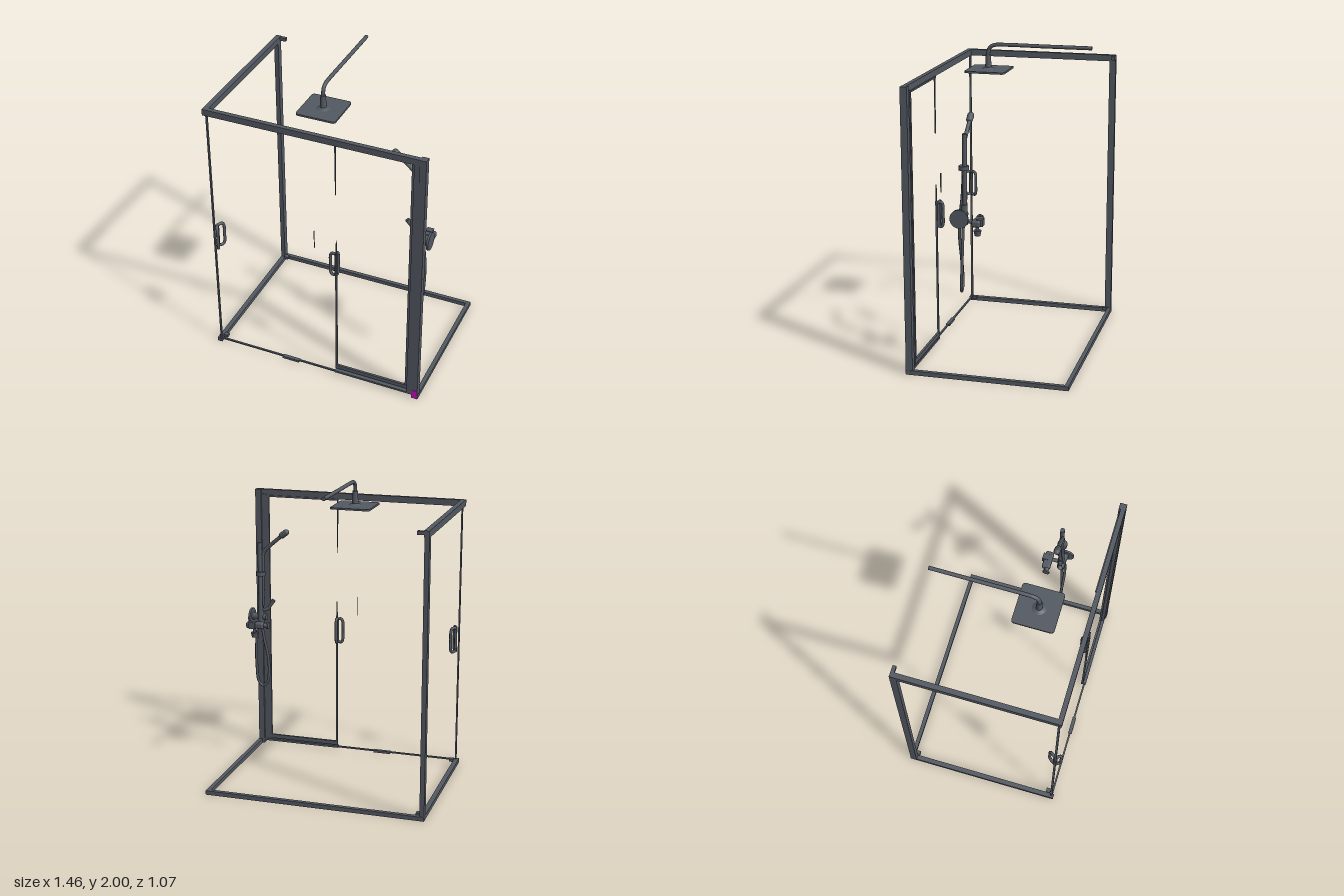
import * as THREE from 'three';
import { RoundedBoxGeometry } from 'three/addons/geometries/RoundedBoxGeometry.js';

const metal = new THREE.MeshStandardMaterial({ color: 0x535962, side: THREE.DoubleSide });
metal.name = 'slateMetal';
const tag = new THREE.MeshStandardMaterial({ color: 0xc010c0 });
tag.name = 'magentaPatch';
const V = (x, y, z) => new THREE.Vector3(x, y, z);

export function createModel() {
  const model = new THREE.Group();
  model.name = 'showerEnclosure';

  const add = (name, geo, mat = metal) => {
    const m = new THREE.Mesh(geo, mat);
    m.name = name;
    model.add(m);
    return m;
  };
  // box given by its lower and upper limits on each axis
  const bar = (name, x0, x1, y0, y1, z0, z1, mat) => {
    const g = new THREE.BoxGeometry(x1 - x0, y1 - y0, z1 - z0);
    g.translate((x0 + x1) / 2, (y0 + y1) / 2, (z0 + z1) / 2);
    return add(name, g, mat);
  };
  // cylinder between two points
  const rod = (name, a, b, r0, r1 = r0, n = 20) => {
    const d = b.clone().sub(a);
    const m = add(name, new THREE.CylinderGeometry(r1, r0, d.length(), n));
    m.position.copy(a).addScaledVector(d, 0.5);
    m.quaternion.setFromUnitVectors(V(0, 1, 0), d.normalize());
    return m;
  };
  const tube = (name, pts, r, seg = 48) =>
    add(name, new THREE.TubeGeometry(new THREE.CatmullRomCurve3(pts, false, 'centripetal'), seg, r, 10));
  // tapering sliver of edge trim along the glass
  const sliver = (name, x, y0, y1, w0, w1, z) => {
    const s = new THREE.Shape([[-w0, y0], [w0, y0], [w1, y1], [-w1, y1]].map(p => new THREE.Vector2(...p)));
    const g = new THREE.ExtrudeGeometry(s, { depth: 0.008, bevelEnabled: false });
    add(name, g.translate(x, 0, z - 0.004));
  };

  // base frame: back, left and right rails, with a slim front sill
  bar('baseBack', -0.73, 0.73, 0, 0.028, -0.535, -0.508);
  bar('baseLeft', -0.73, -0.698, 0, 0.028, -0.53, 0.51);
  bar('baseRight', 0.702, 0.73, 0, 0.028, -0.53, 0.51);
  bar('frontSill', -0.73, 0.73, 0.018, 0.028, 0.49, 0.502);
  bar('sillJoint', -0.24, -0.12, 0.012, 0.028, 0.485, 0.51);
  for (const [x, z] of [[-0.685, -0.49], [-0.685, 0.465]])
    bar('cornerNub', x - 0.015, x + 0.015, 0.02, 0.04, z - 0.015, z + 0.015);

  // top rails
  bar('topRailFront', -0.73, 0.725, 1.8, 1.842, 0.482, 0.512);
  bar('topRailLeft', -0.73, -0.697, 1.8, 1.842, -0.53, 0.51);
  bar('topCornerBracket', -0.70, -0.655, 1.815, 1.838, -0.533, -0.51);

  // posts
  bar('backLeftPost', -0.73, -0.7, 0, 1.84, -0.533, -0.49);
  bar('frontLeftEdge', -0.714, -0.704, 0.02, 1.81, 0.486, 0.5);
  bar('wallChannel', 0.686, 0.727, 0, 1.842, 0.47, 0.514);
  bar('doorJamb', 0.65, 0.684, 0.03, 1.81, 0.478, 0.508);
  bar('doorSeal', 0.63, 0.65, 0.04, 1.8, 0.474, 0.488);
  bar('channelPatch', 0.69, 0.727, 0.005, 0.068, 0.514, 0.516, tag);

  // sliding door rails and glass edge trim
  bar('doorBottomRail', 0.14, 0.65, 0.042, 0.07, 0.474, 0.489);
  bar('doorThreshold', 0.14, 0.69, 0.02, 0.034, 0.474, 0.508);
  bar('doorTopRail', 0.14, 0.65, 1.792, 1.803, 0.474, 0.489);
  bar('doorEdge', 0.14, 0.151, 0.045, 0.98, 0.476, 0.488);
  sliver('doorEdgeTip', 0.146, 0.98, 1.09, 0.005, 0.001, 0.482);
  sliver('doorEdgeUpper', 0.142, 1.43, 1.8, 0.001, 0.005, 0.482);
  sliver('glassEdge', 0.002, 1.0, 1.13, 0.001, 0.002, 0.495);

  // D-shaped pull handles; dir is the stand-off direction from the glass
  const handle = (name, x, z, dx, dz) => {
    const p = (t, y) => V(x + dx * t, y, z + dz * t);
    tube(name, [p(0, 0.81), p(0.75, 0.808), p(1, 0.83), p(1, 0.89), p(1, 0.95), p(0.75, 0.972), p(0, 0.97)], 0.01);
    rod(name + 'Plate', p(0.1, 0.805), p(0.1, 0.975), 0.008);
  };
  handle('leftHandleInner', -0.69, 0.487, 0.027, -0.04);
  handle('leftHandleOuter', -0.69, 0.492, 0.02, 0.032);
  handle('rightHandleInner', 0.138, 0.475, 0.002, -0.036);
  handle('rightHandleSide', 0.14, 0.468, -0.04, 0);

  // overhead rain shower
  tube('showerArm', [V(-0.068, 1.86, 0.185), V(-0.068, 1.93, 0.185), V(-0.068, 1.965, 0.175),
    V(-0.068, 1.983, 0.145), V(-0.068, 1.987, 0.1), V(-0.068, 1.987, -0.2), V(-0.068, 1.987, -0.49)], 0.0125, 64);
  rod('armEnd', V(-0.068, 1.987, -0.488), V(-0.068, 1.987, -0.492), 0.0125);
  rod('armConnector', V(-0.068, 1.83, 0.185), V(-0.068, 1.92, 0.185), 0.021, 0.017);
  const head = add('rainHead', new RoundedBoxGeometry(0.264, 0.26, 0.012, 3, 0.006));
  const plate = new THREE.Shape();
  const a = 0.132, r = 0.02;
  [[a - r, r - a, -Math.PI / 2], [a - r, a - r, 0], [r - a, a - r, Math.PI / 2], [r - a, r - a, Math.PI]]
    .forEach(([x, y, t]) => plate.absarc(x, y, r, t, t + Math.PI / 2));
  head.geometry = new THREE.ExtrudeGeometry(plate, { depth: 0.012, bevelEnabled: false }).rotateX(-Math.PI / 2);
  head.position.set(-0.068, 1.817, 0.18);
  rod('headCollar', V(-0.068, 1.826, 0.185), V(-0.068, 1.84, 0.185), 0.05, 0.022);

  // slide bar with hand shower
  rod('slideBar', V(0.585, 1.07, 0.158), V(0.585, 1.545, 0.156), 0.0145);
  rod('slideHolder', V(0.583, 1.318, 0.163), V(0.583, 1.345, 0.163), 0.032);
  rod('handShowerStem', V(0.568, 1.3, 0.168), V(0.566, 1.47, 0.166), 0.009, 0.011);
  tube('handShowerHandle', [V(0.566, 1.46, 0.166), V(0.555, 1.485, 0.166), V(0.51, 1.53, 0.166), V(0.44, 1.59, 0.166)], 0.013);
  const spray = add('handShowerHead', new THREE.CapsuleGeometry(0.021, 0.036, 6, 16));
  spray.position.set(0.416, 1.61, 0.168);
  spray.rotation.z = 0.92;

  // hose looping below the valve
  tube('hose', [V(0.568, 1.31, 0.17), V(0.572, 1.15, 0.178), V(0.59, 1.0, 0.19), V(0.578, 0.88, 0.195),
    V(0.55, 0.75, 0.193), V(0.542, 0.63, 0.188), V(0.555, 0.56, 0.185), V(0.585, 0.537, 0.183),
    V(0.612, 0.565, 0.178), V(0.623, 0.68, 0.17), V(0.62, 0.85, 0.164), V(0.605, 0.98, 0.162)], 0.0095, 110);

  // mixer valve: wall plate, body and lever
  rod('valvePlate', V(0.646, 1.025, 0.175), V(0.66, 1.025, 0.175), 0.059, 0.059, 36);
  rod('valveBody', V(0.545, 1.03, 0.168), V(0.65, 1.03, 0.172), 0.022, 0.026);
  rod('valveRiser', V(0.585, 0.975, 0.165), V(0.585, 1.1, 0.16), 0.026, 0.019);
  tube('valveArm', [V(0.585, 1.085, 0.16), V(0.55, 1.083, 0.165), V(0.53, 1.095, 0.17)], 0.012, 16);
  rod('valveLever', V(0.535, 1.088, 0.17), V(0.498, 1.15, 0.178), 0.009, 0.015);

  // side tap with knob
  const tap = add('tapBody', new RoundedBoxGeometry(0.12, 0.042, 0.056, 3, 0.012));
  tap.position.set(0.592, 0.997, 0.073);
  bar('tapBlock', 0.585, 0.628, 0.978, 1.022, 0.034, 0.075);
  rod('tapSpout', V(0.51, 0.997, 0.083), V(0.55, 0.997, 0.078), 0.014, 0.018);
  rod('tapSpoutEnd', V(0.502, 0.997, 0.083), V(0.512, 0.997, 0.083), 0.024);
  rod('tapLink', V(0.605, 1.0, 0.07), V(0.605, 1.0, 0.16), 0.013);
  rod('knobStem', V(0.6, 0.94, 0.074), V(0.6, 0.99, 0.074), 0.011);
  rod('tapKnob', V(0.6, 0.912, 0.074), V(0.6, 0.945, 0.074), 0.018, 0.025);

  return model;
}
